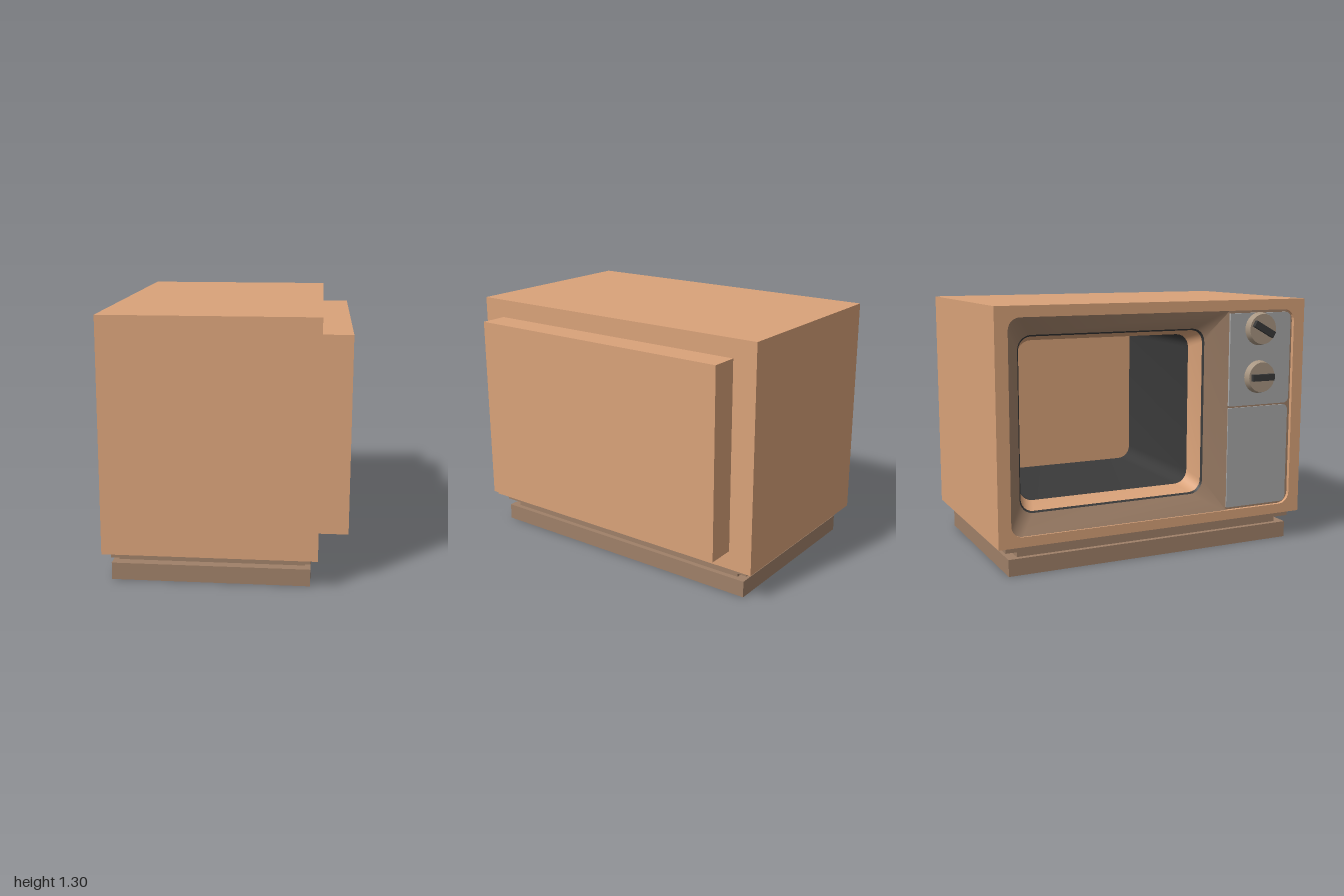
import * as THREE from 'three';
import { toCreasedNormals } from 'three/addons/utils/BufferGeometryUtils.js';

const paint = (color) => new THREE.MeshStandardMaterial({ color, side: THREE.DoubleSide });
const WOOD = paint(0xd9a279), BROWN = paint(0x9f8068), DARK = paint(0x3a3a3a);
const GREY = paint(0xa8a8a8), KNOB = paint(0xa89682);

// Rounded rectangle, counter-clockwise; rl and rr are the left and right corner radii
function roundRect(x0, x1, y0, y1, rl, rr = rl) {
  const corners = [[x1 - rr, y0 + rr, rr, -0.5], [x1 - rr, y1 - rr, rr, 0], [x0 + rl, y1 - rl, rl, 0.5], [x0 + rl, y0 + rl, rl, 1]];
  const points = [];
  for (const [cx, cy, r, start] of corners) {
    for (let i = 0; i <= 6; i++) {
      const a = (start + i / 12) * Math.PI;
      points.push(new THREE.Vector2(cx + r * Math.cos(a), cy + r * Math.sin(a)));
    }
  }
  return points;
}

// Inward-facing wall between two outlines at depths z0 and z1
function loft(r0, z0, r1, z1) {
  const pos = [];
  r0.forEach((a, i) => {
    const j = (i + 1) % r0.length, b = r0[j], c = r1[j], d = r1[i];
    pos.push(a.x, a.y, z0, b.x, b.y, z0, c.x, c.y, z1, a.x, a.y, z0, c.x, c.y, z1, d.x, d.y, z1);
  });
  const geo = new THREE.BufferGeometry();
  geo.setAttribute('position', new THREE.Float32BufferAttribute(pos, 3));
  return toCreasedNormals(geo, 0.6);
}

// Flat plate cut from an outline, from z0 forward to z1
function plate(points, z0, z1, hole) {
  const shape = new THREE.Shape(points);
  if (hole) shape.holes.push(new THREE.Path(hole));
  return new THREE.ExtrudeGeometry(shape, { depth: z1 - z0, bevelEnabled: false }).translate(0, 0, z0);
}

export function createModel() {
  const model = new THREE.Group();
  const set = new THREE.Group();
  set.name = 'television';
  set.position.set(-0.027, 0, -0.001);
  set.rotation.y = -2.133;
  model.add(set);

  const add = (name, geo, mat, parent = set) => {
    const mesh = new THREE.Mesh(geo, mat);
    mesh.name = name;
    parent.add(mesh);
    return mesh;
  };
  const box = (name, w, y0, y1, z0, z1, mat) =>
    add(name, new THREE.BoxGeometry(w, y1 - y0, z1 - z0).translate(0, (y0 + y1) / 2, (z0 + z1) / 2), mat);

  // Cabinet shell with a rounded front opening, and the housing on its back
  const outer = [[-0.853, 0.15], [0.853, 0.15], [0.853, 1.3], [-0.853, 1.3]].map(([x, y]) => new THREE.Vector2(x, y));
  add('cabinet', plate(outer, -0.497, 0.517, roundRect(-0.788, 0.79, 0.2, 1.246, 0.06)), WOOD);
  box('cabinetBack', 1.706, 0.15, 1.3, -0.517, -0.497, WOOD);
  box('rearHousing', 1.458, 0.245, 1.206, -0.66, -0.517, WOOD);

  // Stepped plinth
  box('plinthTop', 1.617, 0.118, 0.15, -0.481, 0.481, BROWN);
  box('plinthNeck', 1.484, 0.085, 0.118, -0.455, 0.455, BROWN);
  box('plinthFoot', 1.586, 0, 0.085, -0.4815, 0.4815, BROWN);

  // Screen surround, stepping inward to the hollow tube
  const opening = (inset, r) => roundRect(-0.72 + inset, 0.29 - inset, 0.293 + inset, 1.157 - inset, r);
  const rim = opening(0, 0.07), lip = opening(0.008, 0.065), throat = opening(0.035, 0.07);
  add('screenBezel', loft(roundRect(-0.788, 0.4, 0.2, 1.246, 0.06, 0.002), 0.508, rim, 0.447), BROWN);
  add('screenTrim', loft(rim, 0.447, lip, 0.437), DARK);
  add('screenFunnel', loft(lip, 0.437, throat, 0.34), WOOD);
  add('tubeCavity', loft(throat, 0.34, throat, -0.36), DARK);
  add('tubeBack', plate(throat, -0.38, -0.36), WOOD);

  // Control panel
  add('controlBacking', plate(roundRect(0.4, 0.79, 0.2, 1.246, 0.002, 0.06), 0.44, 0.498), BROWN);
  add('upperPanel', plate(roundRect(0.405, 0.772, 0.752, 1.232, 0.004, 0.03), 0.495, 0.512), GREY);
  add('lowerPanel', plate(roundRect(0.405, 0.772, 0.212, 0.742, 0.004, 0.03), 0.495, 0.506), GREY);

  // Two knobs with a dark grip bar each
  for (const [y, turn] of [[1.15, -0.5], [0.9, 0]]) {
    const knob = new THREE.Group();
    knob.name = 'knob';
    knob.position.set(0.58, y, 0.512);
    knob.rotation.z = turn;
    set.add(knob);
    add('knobDial', new THREE.CylinderGeometry(0.078, 0.086, 0.035, 32).rotateX(Math.PI / 2).translate(0, 0, 0.0175), KNOB, knob);
    add('knobGrip', new THREE.BoxGeometry(0.13, 0.034, 0.022).translate(0, 0, 0.045), DARK, knob);
  }
  return model;
}
